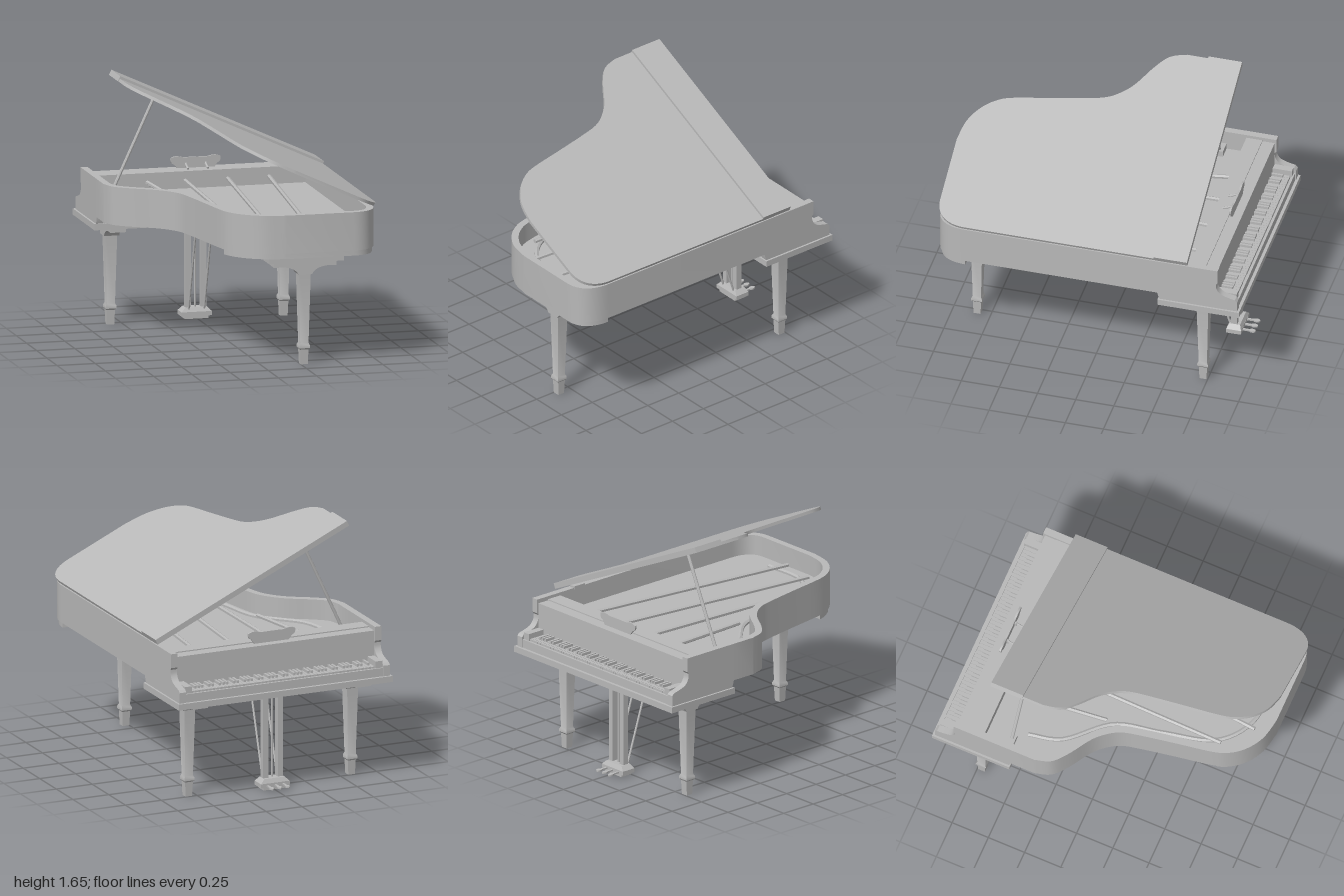
import * as THREE from 'three';
import { toCreasedNormals } from 'three/addons/utils/BufferGeometryUtils.js';

const V2 = (x, y) => new THREE.Vector2(x, y);
const V3 = (x, y, z) => new THREE.Vector3(x, y, z);

export function createModel() {
  const grey = new THREE.MeshStandardMaterial({ color: 0xb8b8b8 });
  grey.name = 'satin grey';
  const piano = new THREE.Group();
  piano.name = 'grandPiano';

  function add(name, geo, parent = piano) {
    const mesh = new THREE.Mesh(toCreasedNormals(geo, 0.5), grey);
    mesh.name = name;
    parent.add(mesh);
    return mesh;
  }
  // Box given by its limits
  function box(name, x0, x1, y0, y1, z0, z1, parent) {
    const g = new THREE.BoxGeometry(x1 - x0, y1 - y0, z1 - z0);
    g.translate((x0 + x1) / 2, (y0 + y1) / 2, (z0 + z1) / 2);
    return add(name, g, parent);
  }
  // Horizontal slab from plan points (x, z)
  function slab(name, pts, y0, y1, parent) {
    const g = new THREE.ExtrudeGeometry(new THREE.Shape(pts), { depth: y1 - y0, bevelEnabled: false });
    g.rotateX(Math.PI / 2).translate(0, y1, 0);
    return add(name, g, parent);
  }
  // Side profile of points (z, y), extruded along x
  function sideProfile(name, pts, x0, x1) {
    const shape = new THREE.Shape(pts.map(p => V2(-p.x, p.y)));
    const g = new THREE.ExtrudeGeometry(shape, { depth: x1 - x0, bevelEnabled: false });
    g.rotateY(Math.PI / 2).translate(x0, 0, 0);
    return add(name, g);
  }
  function rod(name, a, b, r, sides = 8) {
    const g = new THREE.CylinderGeometry(r, r, a.distanceTo(b), sides);
    g.applyQuaternion(new THREE.Quaternion().setFromUnitVectors(V3(0, 1, 0), b.clone().sub(a).normalize()));
    g.translate((a.x + b.x) / 2, (a.y + b.y) / 2, (a.z + b.z) / 2);
    return add(name, g);
  }

  // Case plan: curved bent side, round tail, straight side
  const bentSide = new THREE.SplineCurve([
    [-0.735, -0.3], [-0.7, -0.195], [-0.61, -0.115], [-0.47, -0.025], [-0.395, 0.05], [-0.345, 0.135],
    [-0.315, 0.26], [-0.275, 0.48], [-0.235, 0.71], [-0.2, 0.81], [-0.13, 0.9], [-0.02, 0.97], [0.12, 1]
  ].map(p => V2(...p))).getPoints(60);
  const corner = new THREE.CubicBezierCurve(V2(0.56, 1), V2(0.67, 1), V2(0.73, 0.92), V2(0.73, 0.8)).getPoints(12);
  function plan(zStart, inset = 0) {
    const pts = [V2(-0.735, zStart), ...bentSide, ...corner, V2(0.73, zStart)];
    return pts.map((p, i) => {
      const t = pts[Math.min(i + 1, pts.length - 1)].clone().sub(pts[Math.max(i - 1, 0)]).normalize();
      if (i === 0 || i === pts.length - 1) t.set(0, i ? -1 : 1);
      return V2(p.x + t.y * inset, p.y - t.x * inset);
    });
  }

  // Rim, soundboard and tail plate
  slab('rim', [...plan(-0.47), ...plan(-0.47, 0.045).reverse()], 0.745, 0.992);
  slab('soundboard', plan(-0.7, 0.03), 0.747, 0.86);
  slab('tailPlate', plan(-0.7, 0.01).filter(p => p.y > 0.72), 0.71, 0.75);

  // Arms with scrolled fronts
  const scroll = new THREE.SplineCurve([V2(-0.845, 0.885), V2(-0.85, 0.85), V2(-0.875, 0.815), V2(-0.92, 0.797), V2(-0.97, 0.785)]).getPoints(14);
  const arm = [V2(-0.46, 0.992), V2(-0.857, 0.992), V2(-0.857, 0.9), ...scroll, V2(-0.985, 0.77), V2(-0.985, 0.7),
    V2(-0.475, 0.7), V2(-0.46, 0.745)];
  sideProfile('rightArm', arm, -0.735, -0.69);
  sideProfile('leftArm', arm, 0.685, 0.73);

  // Keybed and keyboard
  box('keybed', -0.748, 0.743, 0.66, 0.7, -1, -0.465);
  box('keybedFiller', -0.7, 0.7, 0.7, 0.747, -0.965, -0.48);
  box('keySlip', -0.69, 0.685, 0.7, 0.755, -0.98, -0.965);
  for (const x of [-0.69, 0.638]) box('cheekBlock', x, x + 0.047, 0.74, 0.8, -0.97, -0.84);
  const pitch = 1.28 / 52;
  for (let i = 0; i < 52; i++) {
    const x = -0.641 + i * pitch;
    box('naturalKey', x + 0.001, x + pitch - 0.001, 0.745, 0.765, -0.96, -0.84);
    if (i < 51 && ![1, 4].includes(i % 7))
      box('sharpKey', x + pitch - 0.007, x + pitch + 0.007, 0.76, 0.782, -0.92, -0.84);
  }
  box('fallboard', -0.69, 0.685, 0.745, 0.95, -0.845, -0.82);
  box('musicShelf', -0.69, 0.685, 0.94, 0.965, -0.845, -0.66);
  box('shelfStep', -0.69, 0.685, 0.96, 0.972, -0.765, -0.66);
  box('pinBlock', -0.69, 0.685, 0.8, 0.945, -0.72, -0.665);

  // Music desk with a wavy top edge
  const desk = new THREE.Shape();
  desk.moveTo(-0.12, 0.965);
  desk.lineTo(0.12, 0.965);
  desk.lineTo(0.14, 0.995);
  desk.quadraticCurveTo(0.165, 1.0, 0.16, 1.035);
  desk.bezierCurveTo(0.11, 1.06, 0.09, 1.03, 0.05, 1.037);
  desk.lineTo(-0.055, 1.037);
  desk.bezierCurveTo(-0.095, 1.03, -0.115, 1.06, -0.165, 1.035);
  desk.quadraticCurveTo(-0.17, 1.0, -0.145, 0.995);
  add('musicDesk', new THREE.ExtrudeGeometry(desk, { depth: 0.012, bevelEnabled: false }).translate(0, 0, -0.79));
  for (const x of [-0.07, 0.06]) {
    box('deskPeg', x - 0.008, x + 0.008, 0.97, 1.005, -0.78, -0.765);
    rod('deskStay', V3(x, 1, -0.775), V3(x, 0.975, -0.71), 0.007);
  }

  // Frame struts and curved bridge inside the case
  [[-0.35, -0.27, 0.0], [-0.1, -0.12, 0.72], [0.18, 0.05, 0.88], [0.45, 0.3, 0.93]].forEach(([x0, x1, z1]) =>
    rod('frameStrut', V3(x0, 0.91, -0.68), V3(x1, 0.885, z1), 0.014, 6));
  const bridge = new THREE.CatmullRomCurve3([V3(-0.55, 0.865, -0.42), V3(-0.5, 0.865, -0.22), V3(-0.27, 0.865, 0.05),
    V3(-0.2, 0.865, 0.35), V3(-0.1, 0.865, 0.7), V3(0.1, 0.865, 0.85), V3(0.4, 0.865, 0.86)]);
  add('bridge', new THREE.TubeGeometry(bridge, 40, 0.015, 6));

  // Raised lid, hinged on the straight side
  const lid = new THREE.Group();
  lid.name = 'lid';
  lid.position.set(0.733, 1.002, 0);
  lid.rotation.z = -0.433;
  piano.add(lid);
  slab('lidMain', plan(-0.44).map(p => V2(p.x - 0.73, p.y)), 0, 0.02, lid);
  box('lidFlap', -1.47, 0, 0, 0.036, -0.66, -0.44, lid);
  for (const z of [-0.5, -0.02, 0.45]) box('lidHinge', 0.68, 0.722, 0.985, 1.004, z - 0.045, z + 0.045);
  rod('lidProp', V3(-0.63, 0.885, -0.5), V3(-0.345, 1.5, -0.5), 0.011);
  box('propBracket', -0.69, -0.6, 0.86, 0.9, -0.53, -0.475);

  // Square tapered legs with a collar, and arched brackets
  const legPoints = [[0, 0], [0.023, 0], [0.027, 0.095], [0.035, 0.105], [0.035, 0.122], [0.027, 0.138], [0.039, 0.6], [0, 0.6]]
    .map(([r, y]) => V2(r * Math.SQRT2, y));
  function leg(name, x, z, drop, turn) {
    const g = new THREE.Group();
    g.name = name;
    g.position.set(x, 0, z);
    piano.add(g);
    add('legPost', new THREE.LatheGeometry(legPoints, 4, Math.PI / 4), g);
    const s = new THREE.Shape();
    s.moveTo(-0.205, 0.66 + drop);
    s.lineTo(-0.205, 0.628 + drop);
    s.lineTo(-0.14, 0.628 + drop);
    s.quadraticCurveTo(-0.065, 0.62 + drop, -0.045, 0.577 + drop);
    s.lineTo(0.045, 0.577 + drop);
    s.quadraticCurveTo(0.065, 0.62 + drop, 0.14, 0.628 + drop);
    s.lineTo(0.205, 0.628 + drop);
    s.lineTo(0.205, 0.66 + drop);
    const b = new THREE.ExtrudeGeometry(s, { depth: 0.1, bevelEnabled: false }).translate(0, 0, -0.05);
    if (turn) b.rotateY(Math.PI / 2);
    add('legBracket', b, g);
  }
  leg('rightFrontLeg', -0.58, -0.72, 0, true);
  leg('leftFrontLeg', 0.555, -0.72, 0, true);
  leg('tailLeg', 0.272, 0.838, 0.008, false);
  box('tailLegBlock', 0.03, 0.52, 0.665, 0.712, 0.765, 0.905);

  // Pedal lyre
  box('lyreTop', -0.11, 0.125, 0.635, 0.662, -0.85, -0.72);
  for (const x of [-0.055, 0.047]) {
    box('lyrePost', x - 0.018, x + 0.018, 0.05, 0.64, -0.805, -0.765);
    rod('lyreBrace', V3(x, 0.64, -0.565), V3(x, 0.06, -0.755), 0.007);
  }
  rod('pedalRod', V3(-0.005, 0.05, -0.785), V3(-0.005, 0.64, -0.785), 0.006);
  box('lyreFoot', -0.082, 0.074, 0, 0.02, -0.83, -0.745);
  box('lyreBase', -0.105, 0.095, 0.018, 0.045, -0.838, -0.74);
  const cap = new THREE.CylinderGeometry(0.72, 1, 0.028, 4, 1, false, Math.PI / 4);
  add('lyreCap', cap.scale(0.141, 1, 0.069).translate(-0.005, 0.058, -0.789));
  for (const x of [-0.06, -0.005, 0.05]) {
    box('pedal', x - 0.007, x + 0.007, 0.024, 0.034, -0.9, -0.83);
    add('pedalTip', new THREE.CylinderGeometry(0.015, 0.015, 0.01, 12).scale(1, 1, 1.5).translate(x, 0.029, -0.9));
  }
  return piano;
}
